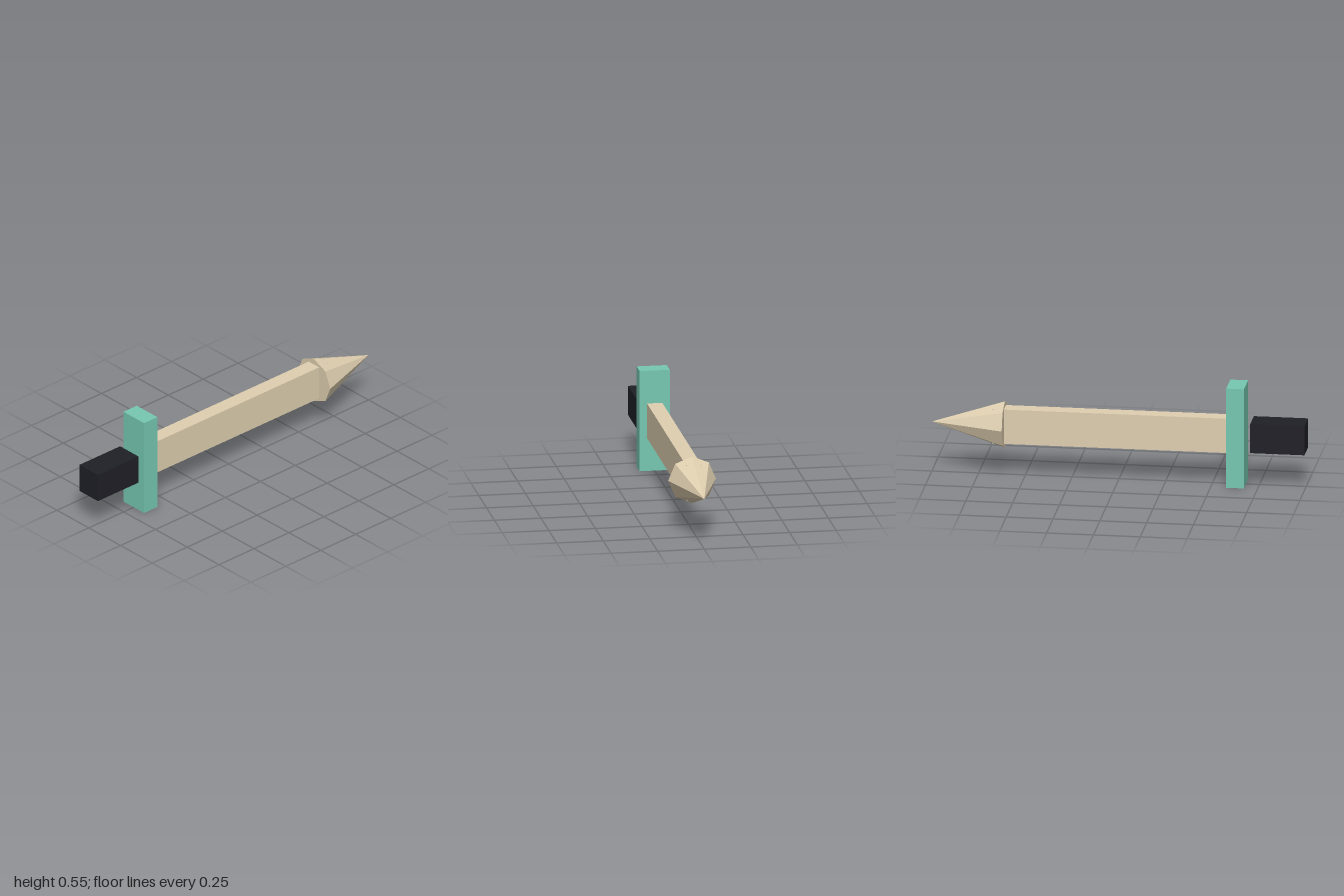
import * as THREE from 'three';

const AXIS_Y = 0.275; // height of the sword's long axis

export function createModel() {
  const sword = new THREE.Group();
  sword.name = 'sword';

  const material = (color) => new THREE.MeshStandardMaterial({ color, flatShading: true });
  const wood = material(0xdfcfb0);
  const teal = material(0x76c8b1);
  const black = material(0x1f2027);

  const add = (name, geometry, mat, x) => {
    const mesh = new THREE.Mesh(geometry, mat);
    mesh.name = name;
    mesh.position.set(x, AXIS_Y, 0);
    sword.add(mesh);
  };

  // Block spanning x0..x1, centred on the axis
  const block = (name, mat, x0, x1, height, depth) =>
    add(name, new THREE.BoxGeometry(x1 - x0, height, depth), mat, (x0 + x1) / 2);

  block('handle', black, -1, -0.71, 0.16, 0.145);
  block('guard', teal, -0.678, -0.583, 0.55, 0.162);
  // The blade's corners poke slightly through the tip
  block('blade', wood, -0.583, 0.672, 0.19, 0.082);

  // Eight-sided pointed tip, aimed along +x
  const tipLength = 0.39;
  const tip = new THREE.ConeGeometry(0.128, tipLength, 8).rotateZ(-Math.PI / 2);
  add('tip', tip, wood, 1 - tipLength / 2);

  return sword;
}
